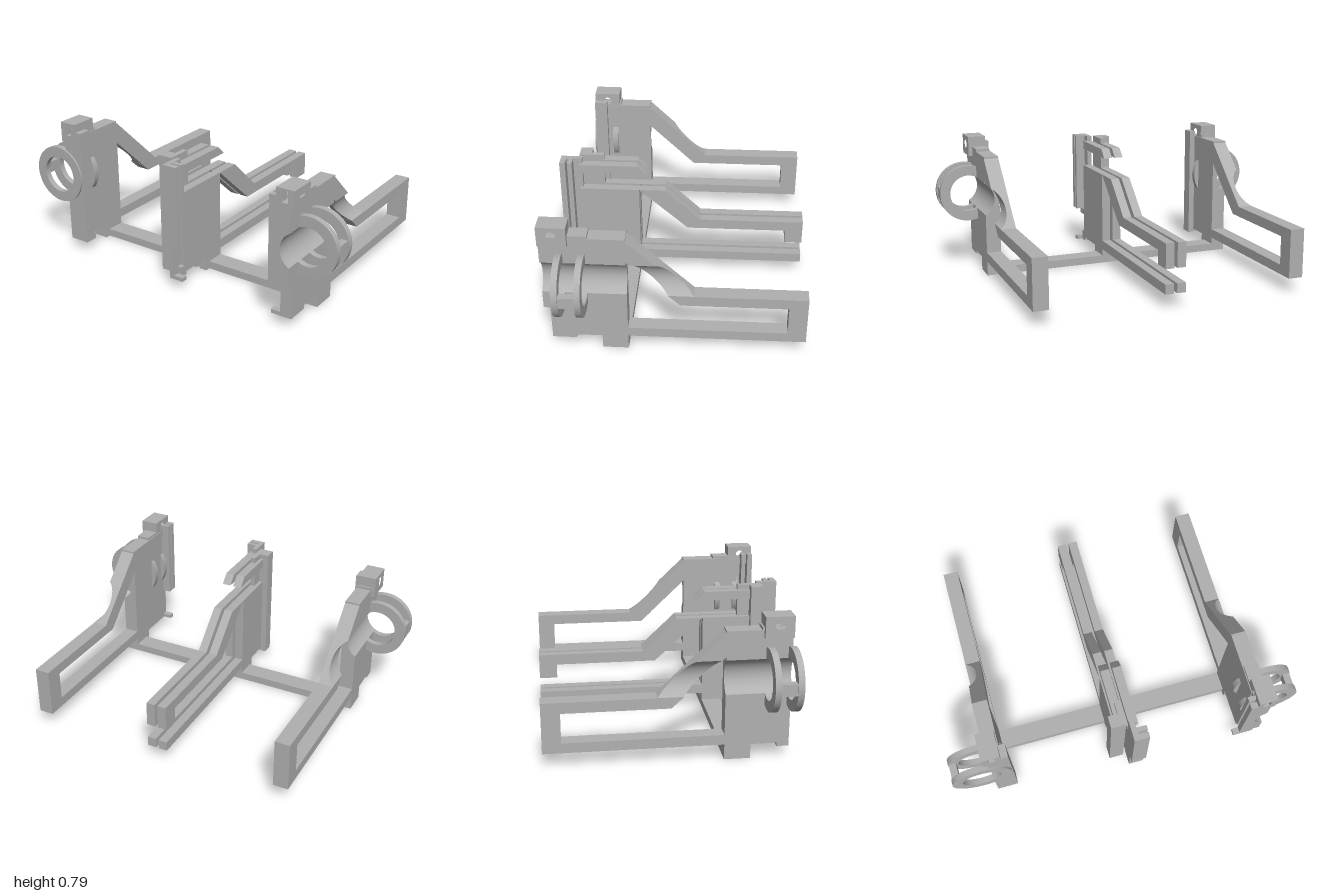
import * as THREE from 'three';
import { toCreasedNormals } from 'three/addons/utils/BufferGeometryUtils.js';

export function createModel() {
  const model = new THREE.Group();
  const grey = new THREE.MeshStandardMaterial({ color: 0xb0b0b0 });
  grey.name = 'plain grey';
  const BORE = { x: 0.833, y: 0.46, r: 0.108 };

  function add(name, geometry) {
    const mesh = new THREE.Mesh(geometry, grey);
    mesh.name = name;
    model.add(mesh);
    return mesh;
  }
  function box(name, x0, x1, y0, y1, z0, z1) {
    const g = new THREE.BoxGeometry(Math.abs(x1 - x0), y1 - y0, z1 - z0);
    g.translate((x0 + x1) / 2, (y0 + y1) / 2, (z0 + z1) / 2);
    return add(name, g);
  }
  // Side outline of [z, y] points, extruded across x, with an optional round hole
  function panel(name, points, xa, xb, hole) {
    const shape = new THREE.Shape(points.map(([z, y]) => new THREE.Vector2(-z, y)));
    if (hole) shape.holes.push(new THREE.Path().absarc(-hole.z, hole.y, hole.r, 0, Math.PI * 2, true));
    const g = new THREE.ExtrudeGeometry(shape, { depth: Math.abs(xb - xa), bevelEnabled: false, curveSegments: 24 });
    g.rotateY(Math.PI / 2).translate(Math.min(xa, xb), 0, 0);
    return add(name, toCreasedNormals(g, 0.5));
  }
  // Plate section with the lens bore scooped from its outer face, extruded along z and optionally sheared
  function boredPlate(name, s, inner, y0, y1, z0, z1, shear = 0) {
    const pts = [[inner, y0], [0.78, y0]];
    const half = Math.acos((BORE.x - 0.78) / BORE.r);
    for (let i = 0; i <= 20; i++) {
      const t = -half + (2 * half * i) / 20;
      pts.push([BORE.x - BORE.r * Math.cos(t), BORE.y + BORE.r * Math.sin(t)]);
    }
    pts.push([0.78, y1], [inner, y1]);
    const shape = new THREE.Shape(pts.map(([x, y]) => new THREE.Vector2(s * x, y)));
    const g = new THREE.ExtrudeGeometry(shape, { depth: z1 - z0, bevelEnabled: false });
    g.translate(0, 0, z0);
    const p = g.attributes.position;
    for (let i = 0; i < p.count; i++) p.setZ(i, p.getZ(i) + shear * (p.getY(i) - y0));
    return add(name, toCreasedNormals(g, 0.5));
  }

  // Cross bar joining every plate
  box('crossBar', -0.695, 0.695, 0, 0.045, 0.25, 0.36);

  for (const s of [-1, 1]) {
    const bodyFront = s > 0 ? 0.6 : 0.53;

    // Outer side plate: rear frame, sloping arm, solid body and foot
    panel('rearFrame', [[0.25, 0.085], [-0.7, 0.085], [-0.7, 0.365], [0.035, 0.365], [-0.03, 0.305],
      [-0.6, 0.305], [-0.6, 0.14], [0.25, 0.14]], s * 0.695, s * 0.78);
    boredPlate('slopingArm', s, 0.695, 0.305, 0.71, -0.165, -0.03, 1.05);
    boredPlate('sideBody', s, 0.695, 0.08, 0.71, 0.25, bodyFront);
    box('sideFoot', s * 0.695, s * 0.78, 0, 0.085, 0.25, 0.39);
    box('sideLowerLip', s * 0.715, s * 0.78, 0.06, 0.08, 0.53, s > 0 ? 0.66 : 0.595);

    // Clamp block with a cross hole and a nut slot
    const zf = s > 0 ? 0.695 : 0.595, zb = zf - 0.152;
    const hole = { z: zf - 0.075, y: 0.735, r: 0.025 };
    const outline = (z0, z1) => [[z0, 0.67], [z1, 0.67], [z1, 0.785], [z0, 0.785]];
    panel('clampInnerCheek', outline(zb, zf), s * 0.7, s * 0.73, hole);
    panel('clampOuterCheek', outline(zb, zf), s * 0.767, s * 0.803, hole);
    box('clampBack', s * 0.73, s * 0.767, 0.67, 0.785, zb, zb + 0.05);
    box('clampFloor', s * 0.73, s * 0.767, 0.67, 0.69, zb + 0.05, zf);
    box('clampRoof', s * 0.73, s * 0.767, 0.777, 0.785, zb + 0.05, zf);
    box('clampStep', s * 0.7, s * 0.78, 0.7, 0.725, zb - 0.1 * (s > 0 ? 1 : 0.1), zb);

    // Pair of lens rings with a bridge between them
    for (const z of [0.457, 0.573]) {
      const ring = new THREE.Shape().absarc(s * 0.833, BORE.y, 0.167, 0, Math.PI * 2, false);
      ring.holes.push(new THREE.Path().absarc(s * 0.833, BORE.y, BORE.r, 0, Math.PI * 2, true));
      const g = new THREE.ExtrudeGeometry(ring, { depth: 0.033, bevelEnabled: false, curveSegments: 32 });
      // Keep the plate side of the ring inside the plate
      add('lensRing', toCreasedNormals(g.translate(0, 0, z), 0.5));
    }
    box('ringBridge', s * 0.953, s * 0.993, 0.428, 0.493, 0.485, 0.578);

    // Centre plate: split rails, arm, panel and top strip
    const xa = s > 0 ? 0.006 : -0.062, xb = s > 0 ? 0.056 : -0.012;
    const centreFront = s > 0 ? 0.59 : 0.535;
    box('centreLowerRail', xa, xb, 0.085, 0.14, -0.7, 0.25);
    panel('centreUpperRail', [[-0.7, 0.225], [-0.6, 0.225], [-0.6, 0.305], [-0.03, 0.305], [0.25, 0.555],
      [0.1, 0.555], [-0.1, 0.365], [-0.7, 0.365]], xa, xb);
    box('centrePanel', xa, xb, 0.08, 0.555, 0.25, centreFront);
    panel('centreTopStrip', [[0.21, 0.66], [centreFront, 0.66], [centreFront, 0.71], [0.26, 0.71]], xa, xb);
    box('centreFoot', xa, xb, 0, 0.085, 0.25, 0.39);
  }

  // Sliding tongues on the right-hand pair
  boredPlate('sideTongueWeb', -1, 0.695, 0.06, 0.71, 0.53, 0.595);
  box('sideTongue', -0.695, -0.66, 0.06, 0.74, 0.52, 0.595);
  box('centreTongue', -0.095, -0.04, 0.06, 0.74, 0.525, 0.595);
  box('centreTongueWeb', -0.04, -0.012, 0.06, 0.74, 0.455, 0.595);

  // Grooved channels on the left-hand pair
  boredPlate('sideChannelWeb', 1, 0.718, 0.26, 0.71, 0.6, 0.695);
  box('sideChannelLowerWeb', 0.715, 0.78, 0.06, 0.26, 0.6, 0.66);
  box('centreChannelWeb', 0.006, 0.035, 0.26, 0.74, 0.575, 0.695);
  box('centreChannelLowerWeb', 0.006, 0.03, 0.06, 0.26, 0.575, 0.66);
  for (const [x0, x1] of [[0.66, 0.72], [0.035, 0.092]]) {
    box('channelRearFlange', x0, x1, 0.265, 0.74, 0.625, 0.65);
    box('channelFrontFlange', x0, x1, 0.265, 0.74, 0.663, 0.695);
    box('channelStop', x0, x1, 0.06, 0.082, 0.625, 0.66);
  }
  box('centreUpperCatch', 0.03, 0.056, 0.23, 0.265, 0.575, 0.66);
  box('centreLowerCatch', 0.03, 0.056, 0.06, 0.12, 0.575, 0.62);

  return model;
}
